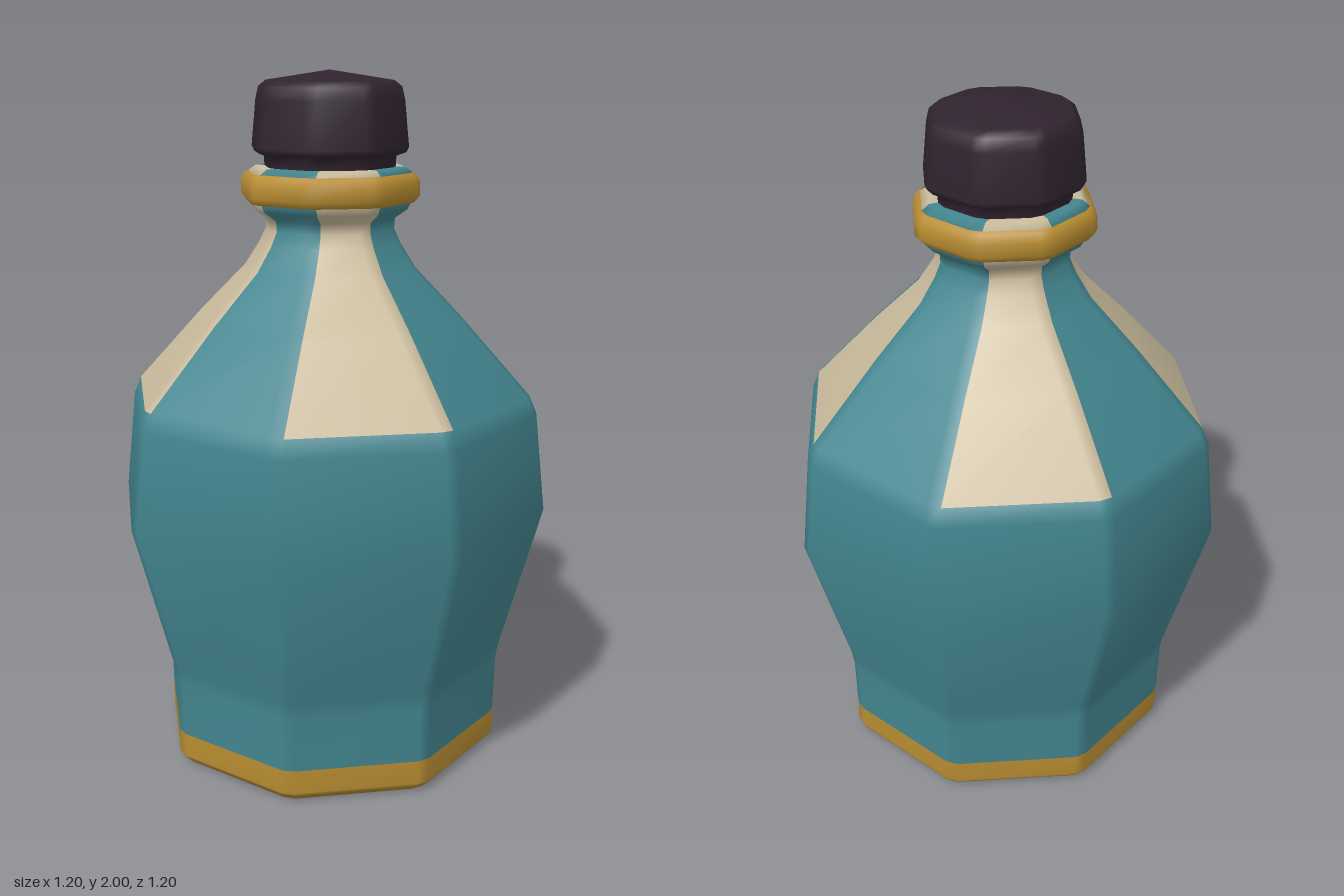
import * as THREE from 'three';

const paint = (name, color) => {
  const m = new THREE.MeshStandardMaterial({ color });
  m.name = name;
  return m;
};

// Octagon cross-section with narrow chamfered corners; a is the distance from axis to flat.
function ring(a, y) {
  const h = Math.max(a * Math.tan(Math.PI / 8) - 0.02, a * 0.25);
  const pts = [];
  for (let k = 0; k < 8; k++) {
    const c = Math.cos(k * Math.PI / 4), s = Math.sin(k * Math.PI / 4);
    for (const u of [-h, h]) pts.push(u * c + a * s, y, a * c - u * s);
  }
  return pts;
}

// Skins a bottom-to-top profile of [apothem, y]; pick(row, column) gives the material index.
function loft(name, profile, materials, pick = () => 0) {
  const pos = profile.flatMap(([a, y]) => ring(a, y));
  const lists = materials.map(() => []);
  for (let j = 0; j < profile.length - 1; j++) {
    for (let i = 0; i < 16; i++) {
      const n = (i + 1) % 16;
      const a = j * 16 + i, b = j * 16 + n, c = b + 16, d = a + 16;
      const list = lists[pick(j, i)];
      if (profile[j][0] > 0) list.push(a, b, c);
      if (profile[j + 1][0] > 0) list.push(a, c, d);
      else if (profile[j][0] > 0) continue;
      else list.push(a, b, c);
    }
  }
  const geo = new THREE.BufferGeometry();
  geo.setAttribute('position', new THREE.Float32BufferAttribute(pos, 3));
  geo.setIndex(lists.flat());
  let start = 0;
  lists.forEach((l, m) => {
    geo.addGroup(start, l.length, m);
    start += l.length;
  });
  geo.computeVertexNormals(); // area weighted: flats stay flat, chamfers turn soft
  const mesh = new THREE.Mesh(geo, materials);
  mesh.name = name;
  return mesh;
}

export function createModel() {
  const teal = paint('teal glaze', 0x43858f);
  const cream = paint('cream panel', 0xc9ba9b);
  const gold = paint('gold trim', 0xb88d32);
  const dark = paint('dark stopper', 0x30232f);

  const group = new THREE.Group();
  group.name = 'bottle';

  // Gold foot band with a bevelled underside
  group.add(loft('footBand', [
    [0, 0], [0.455, 0], [0.475, 0.02], [0.48, 0.03], [0.48, 0.1],
  ], [gold]));

  // Body, shoulder and neck; cream runs up every other side from the shoulder
  const body = [
    [0.48, 0.1], [0.483, 0.26], [0.49, 0.31], [0.6, 0.75], [0.57, 1.04], [0.55, 1.09],
    [0.365, 1.31], [0.237, 1.45], [0.195, 1.52], [0.178, 1.56], [0.18, 1.59], [0.213, 1.615],
    [0.225, 1.64], [0.225, 1.72], [0.205, 1.735], [0.15, 1.735],
  ];
  const creamColumns = [0, 1, 4, 8, 9, 12, 13];
  group.add(loft('body', body, [teal, cream],
    (row, col) => (row >= 5 && creamColumns.includes(col) ? 1 : 0)));

  // Gold collar around the lip
  group.add(loft('collar', [
    [0.215, 1.635], [0.232, 1.637], [0.246, 1.655], [0.246, 1.692], [0.235, 1.715], [0.215, 1.725],
  ], [gold]));

  // Stopper with a flared grip and a shallow pointed top
  group.add(loft('stopper', [
    [0.18, 1.73], [0.182, 1.765], [0.208, 1.775], [0.215, 1.79], [0.203, 1.92],
    [0.195, 1.955], [0.175, 1.972], [0, 2],
  ], [dark]));

  return group;
}
